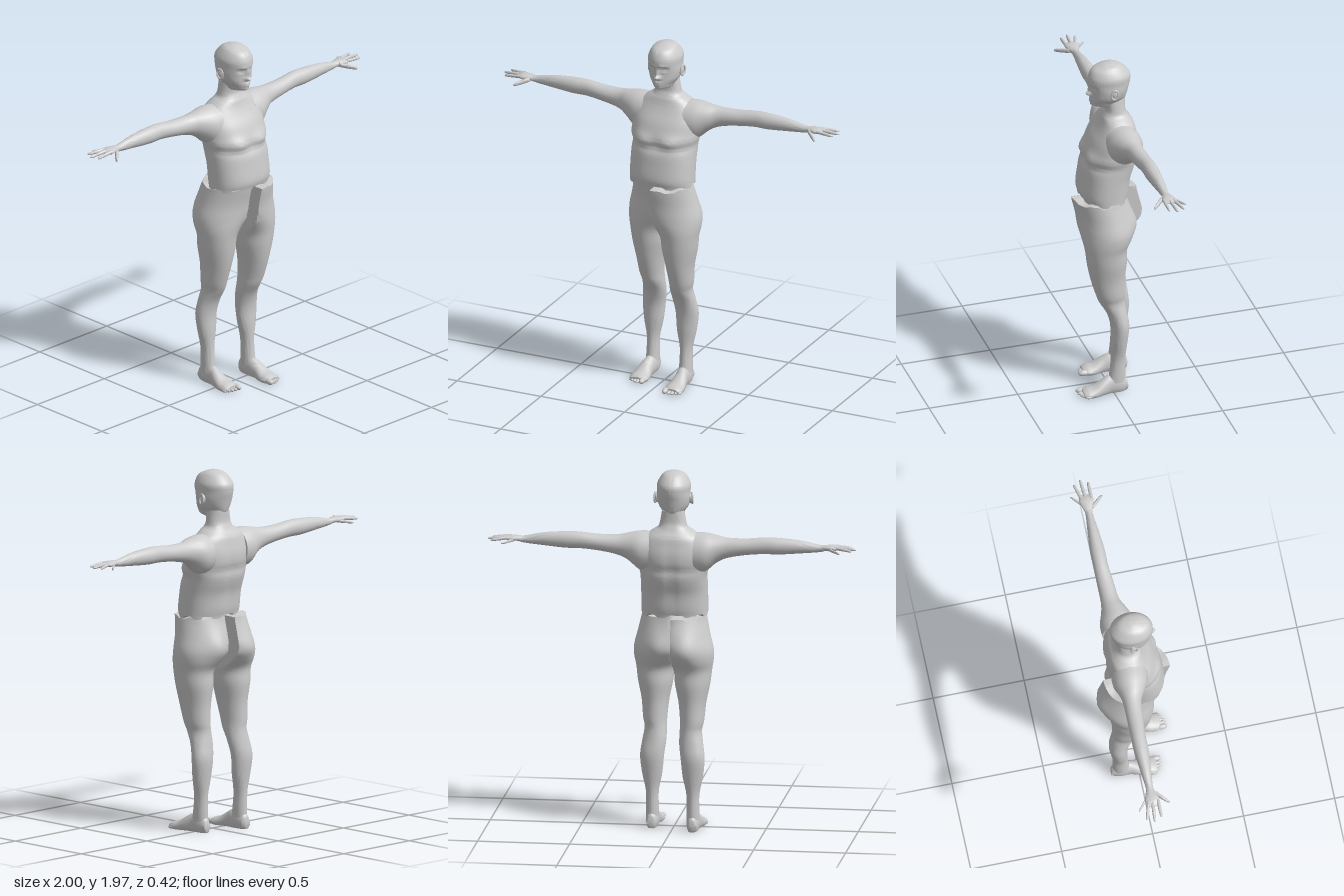
import * as THREE from 'three';
import { toCreasedNormals } from 'three/addons/utils/BufferGeometryUtils.js';

const material = new THREE.MeshStandardMaterial({ color: 0xcccccc });
const AXES = { x: ['x', 'y', 'z'], y: ['y', 'z', 'x'], z: ['z', 'x', 'y'] };

// Smooth interpolation between rows of numbers
function sampleRows(rows, s) {
  const i = Math.min(Math.floor(s), rows.length - 2), t = s - i;
  const row = (k) => rows[Math.max(0, Math.min(rows.length - 1, k))];
  const [a, b, c, d] = [row(i - 1), row(i), row(i + 1), row(i + 2)];
  return b.map((_, k) => 0.5 * (2 * b[k] + (c[k] - a[k]) * t
    + (2 * a[k] - 5 * b[k] + 4 * c[k] - d[k]) * t * t
    + (3 * b[k] - a[k] - 3 * c[k] + d[k]) * t * t * t));
}

// Closed skin through oval sections; row = [position, uMin, uMax, vMin, vMax]
function loft(name, axis, rows, { n = 24, sub = 4, power = 2, side = 1, deform } = {}) {
  const [t, u, v] = AXES[axis], steps = (rows.length - 1) * sub, pos = [], index = [];
  const add = (a, b, c, j) => {
    const p = new THREE.Vector3();
    p[t] = a; p[u] = b; p[v] = c;
    if (deform) deform(p, j);
    pos.push(p.x * side, p.y, p.z);
  };
  const round = (w) => Math.sign(w) * Math.abs(w) ** (2 / power);
  const tri = (a, b, c) => (side > 0 ? index.push(a, b, c) : index.push(a, c, b));
  for (let i = 0; i <= steps; i++) {
    const [a, u0, u1, v0, v1] = sampleRows(rows, i / sub);
    for (let j = 0; j < n; j++) {
      const ang = (j / n) * Math.PI * 2;
      add(a, (u0 + u1) / 2 + (u1 - u0) / 2 * round(Math.cos(ang)),
        (v0 + v1) / 2 + (v1 - v0) / 2 * round(Math.sin(ang)), j);
    }
  }
  for (const r of [rows[0], rows[rows.length - 1]]) add(r[0], (r[1] + r[2]) / 2, (r[3] + r[4]) / 2, 0);
  const start = (steps + 1) * n;
  for (let j = 0; j < n; j++) {
    const k = (j + 1) % n;
    for (let i = 0; i < steps; i++) {
      tri(i * n + j, i * n + k, (i + 1) * n + j);
      tri(i * n + k, (i + 1) * n + k, (i + 1) * n + j);
    }
    tri(start, k, j);
    tri(start + 1, steps * n + j, steps * n + k);
  }
  const geo = new THREE.BufferGeometry();
  geo.setAttribute('position', new THREE.Float32BufferAttribute(pos, 3));
  geo.setIndex(index);
  return named(name, toCreasedNormals(geo, 0.9));
}

function named(name, geo) {
  const mesh = new THREE.Mesh(geo, material);
  mesh.name = name;
  return mesh;
}

function ellipsoid(name, x, y, z, rx, ry, rz) {
  const mesh = named(name, new THREE.SphereGeometry(1, 20, 14));
  mesh.scale.set(rx, ry, rz);
  mesh.position.set(x, y, z);
  return mesh;
}

const bump = (dx, dy, sx, sy) => Math.exp(-((dx / sx) ** 2) - (dy / sy) ** 2);

function makeTorso() {
  return loft('torso', 'y', [
    [1.18, -0.1, 0.15, -0.18, 0.18], [1.22, -0.11, 0.16, -0.18, 0.18],
    [1.3, -0.12, 0.15, -0.18, 0.18], [1.36, -0.14, 0.14, -0.18, 0.18],
    [1.4, -0.15, 0.12, -0.18, 0.18], [1.44, -0.15, 0.12, -0.19, 0.19],
    [1.48, -0.16, 0.11, -0.19, 0.19], [1.53, -0.16, 0.09, -0.19, 0.19],
    [1.58, -0.15, 0.06, -0.18, 0.18], [1.62, -0.14, 0.04, -0.15, 0.15],
    [1.65, -0.12, 0.03, -0.11, 0.11], [1.67, -0.11, 0.02, -0.08, 0.08],
    [1.7, -0.1, 0.01, -0.07, 0.07], [1.76, -0.1, 0.02, -0.06, 0.06],
  ], {
    n: 48, power: 2.3,
    deform(p, j) {
      if (p.z > 0.02) p.z += 0.02 * bump(Math.abs(p.x) - 0.08, p.y - 1.43, 0.06, 0.04); // breasts
      if (p.z < -0.05) p.z += 0.01 * bump(p.x, p.y - 1.4, 0.02, 0.18); // spine groove
      if (p.y < 1.185) p.y += j % 6 < 3 ? 0.01 : -0.01; // ragged hem
    },
  });
}

function makeHead() {
  const group = new THREE.Group();
  group.name = 'head';
  group.add(loft('skull', 'y', [
    [1.72, -0.06, 0.05, -0.04, 0.04], [1.73, -0.08, 0.08, -0.05, 0.05],
    [1.75, -0.1, 0.09, -0.06, 0.06], [1.78, -0.11, 0.09, -0.08, 0.08],
    [1.82, -0.12, 0.09, -0.09, 0.09], [1.86, -0.13, 0.1, -0.09, 0.09],
    [1.9, -0.13, 0.1, -0.09, 0.09], [1.94, -0.1, 0.08, -0.07, 0.07],
    [1.96, -0.07, 0.04, -0.05, 0.05], [1.97, -0.03, 0.01, -0.02, 0.02],
  ], {
    n: 96, sub: 8,
    deform(p) {
      if (p.z < 0.03) return;
      const ax = Math.abs(p.x);
      p.z += 0.025 * bump(p.x, p.y - 1.8, 0.014, 0.012) // nose tip
        + 0.014 * bump(p.x, p.y - 1.825, 0.01, 0.022) // nose bridge
        + 0.008 * bump(ax - 0.013, p.y - 1.797, 0.008, 0.008) // nostrils
        - 0.014 * bump(ax - 0.035, p.y - 1.848, 0.018, 0.012) // eye sockets
        + 0.006 * bump(ax - 0.033, p.y - 1.847, 0.009, 0.006) // eyes
        + 0.005 * bump(ax - 0.03, p.y - 1.868, 0.02, 0.008) // brows
        + 0.008 * bump(p.x, p.y - 1.768, 0.02, 0.006) // upper lip
        + 0.008 * bump(p.x, p.y - 1.755, 0.018, 0.006) // lower lip
        + 0.008 * bump(p.x, p.y - 1.732, 0.02, 0.012); // chin
    },
  }));
  for (const s of [1, -1]) {
    const ear = new THREE.Group();
    ear.name = s > 0 ? 'leftEar' : 'rightEar';
    const rim = named('earRim', new THREE.TorusGeometry(0.018, 0.005, 8, 20));
    rim.scale.y = 1.5;
    rim.rotation.y = Math.PI / 2;
    rim.position.x = s * 0.01;
    ear.add(rim, ellipsoid('earBowl', 0, 0, 0, 0.012, 0.027, 0.018));
    ear.position.set(s * 0.09, 1.82, -0.02);
    ear.rotation.set(-0.15, -s * 0.25, 0);
    group.add(ear);
  }
  return group;
}

function makeArm(side) {
  const group = new THREE.Group();
  group.name = side > 0 ? 'leftArm' : 'rightArm';
  group.add(loft('armAndPalm', 'x', [
    [0.12, 1.42, 1.64, -0.15, 0.05], [0.18, 1.43, 1.64, -0.15, 0.04],
    [0.24, 1.48, 1.63, -0.13, 0.01], [0.3, 1.51, 1.62, -0.12, -0.02],
    [0.4, 1.53, 1.62, -0.12, -0.03], [0.5, 1.54, 1.63, -0.12, -0.04],
    [0.58, 1.54, 1.63, -0.12, -0.04], [0.7, 1.55, 1.62, -0.11, -0.05],
    [0.8, 1.56, 1.6, -0.1, -0.06], [0.84, 1.57, 1.6, -0.11, -0.05],
    [0.88, 1.57, 1.6, -0.12, -0.04], [0.91, 1.58, 1.59, -0.11, -0.06],
  ], { side }));
  // Fingers: [name, base x, y, z, tip x, y, z, radius]
  const fingers = [
    ['thumb', 0.83, 1.58, -0.06, 0.9, 1.56, 0.01, 0.013],
    ['indexFinger', 0.88, 1.59, -0.05, 0.98, 1.58, -0.05, 0.009],
    ['middleFinger', 0.88, 1.59, -0.08, 1.0, 1.58, -0.09, 0.009],
    ['ringFinger', 0.88, 1.59, -0.1, 0.98, 1.58, -0.13, 0.009],
    ['littleFinger', 0.85, 1.58, -0.1, 0.92, 1.57, -0.16, 0.008],
  ];
  for (const [name, x0, y0, z0, x1, y1, z1, r] of fingers) {
    const rows = [[0, 1], [0.45, 1], [0.8, 0.85], [0.95, 0.6], [1, 0.15]].map(([f, k]) => {
      const y = y0 + (y1 - y0) * f, z = z0 + (z1 - z0) * f;
      return [x0 + (x1 - x0) * f, y - r * k, y + r * k, z - r * k, z + r * k];
    });
    group.add(loft(name, 'x', rows, { n: 12, sub: 3, side }));
  }
  return group;
}

function makeLeg(side) {
  const group = new THREE.Group();
  group.name = side > 0 ? 'leftLeg' : 'rightLeg';
  // Hip sections are cut flat at the body's middle
  group.add(loft('hipAndLeg', 'y', [
    [0.06, -0.07, 0.03, 0.08, 0.15], [0.1, -0.07, 0.02, 0.08, 0.15],
    [0.2, -0.07, 0.01, 0.08, 0.15], [0.3, -0.08, 0.01, 0.06, 0.17],
    [0.4, -0.09, 0.01, 0.05, 0.18], [0.48, -0.08, 0.03, 0.04, 0.17],
    [0.55, -0.07, 0.07, 0.04, 0.16], [0.6, -0.07, 0.09, 0.04, 0.17],
    [0.7, -0.07, 0.12, 0.03, 0.18], [0.8, -0.08, 0.14, 0.01, 0.2],
    [0.88, -0.08, 0.15, 0, 0.21], [0.94, -0.11, 0.16, -0.05, 0.22],
    [1, -0.13, 0.17, -0.13, 0.22], [1.08, -0.12, 0.18, -0.17, 0.2],
    [1.17, -0.1, 0.2, -0.17, 0.18],
  ], {
    n: 40, side,
    deform(p, j) {
      p.x = Math.max(p.x, 0.003);
      if (p.z < -0.03) p.z -= 0.02 * bump(p.x - 0.08, p.y - 1.02, 0.06, 0.08); // buttock
      if (p.y > 1.165) p.y += j % 6 < 3 ? 0.01 : 0; // ragged waist
    },
  }));
  group.add(loft('foot', 'z', [
    [-0.08, 0.1, 0.14, 0.01, 0.05], [-0.07, 0.09, 0.14, -0.01, 0.08],
    [-0.03, 0.08, 0.15, -0.02, 0.1], [0.02, 0.08, 0.15, -0.02, 0.1],
    [0.06, 0.08, 0.16, -0.02, 0.08], [0.11, 0.07, 0.17, -0.02, 0.05],
    [0.15, 0.07, 0.17, -0.01, 0.04], [0.17, 0.08, 0.16, 0, 0.03],
  ], { side, deform(p) { p.y = Math.max(p.y, 0); } }));
  for (let i = 0; i < 5; i++) {
    const r = i ? 0.011 - i * 0.0005 : 0.016;
    const x = i ? 0.092 + i * 0.018 : 0.086;
    group.add(ellipsoid('toe', side * x, r, 0.17 - i * i * 0.0015, r, r, 0.03 - i * 0.002));
  }
  group.position.z = side > 0 ? 0 : -0.07;
  return group;
}

export function createModel() {
  const model = new THREE.Group();
  model.name = 'standingFigure';
  model.add(makeTorso(), makeHead());
  for (const side of [1, -1]) model.add(makeArm(side), makeLeg(side));
  return model;
}
